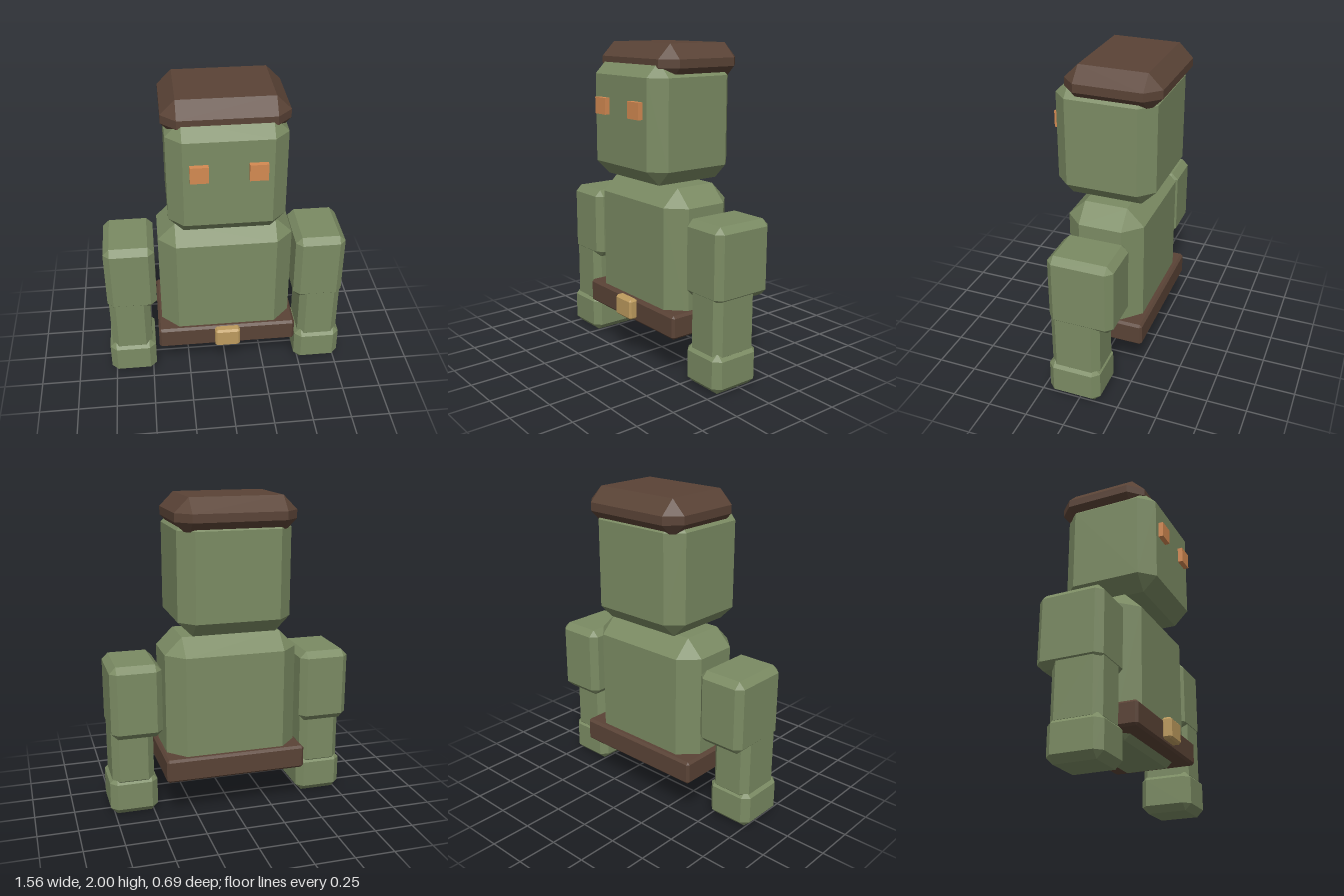
import * as THREE from 'three';
import { ConvexGeometry } from 'three/addons/geometries/ConvexGeometry.js';

function material(name, color) {
  const m = new THREE.MeshStandardMaterial({ color });
  m.name = name;
  return m;
}

// Box given by its limits, with every edge cut at 45 degrees by c
function chamferBox(name, mat, [x0, x1], [y0, y1], [z0, z1], c) {
  const hx = (x1 - x0) / 2, hy = (y1 - y0) / 2, hz = (z1 - z0) / 2;
  const points = [];
  for (const sx of [-1, 1]) for (const sy of [-1, 1]) for (const sz of [-1, 1]) {
    points.push(
      new THREE.Vector3(sx * hx, sy * (hy - c), sz * (hz - c)),
      new THREE.Vector3(sx * (hx - c), sy * hy, sz * (hz - c)),
      new THREE.Vector3(sx * (hx - c), sy * (hy - c), sz * hz));
  }
  const mesh = new THREE.Mesh(new ConvexGeometry(points), mat);
  mesh.position.set((x0 + x1) / 2, (y0 + y1) / 2, (z0 + z1) / 2);
  mesh.name = name;
  return mesh;
}

export function createModel() {
  const green = material('green skin', 0x7b8b63);
  const brown = material('dark brown leather', 0x5a4336);
  const orange = material('orange eyes', 0xd48a52);
  const gold = material('gold buckle', 0xbd9b5e);
  const model = new THREE.Group();
  model.name = 'blockFigure';

  // Body, belt and buckle
  model.add(
    chamferBox('torso', green, [-0.423, 0.419], [0.225, 1.153], [-0.257, 0.229], 0.108),
    chamferBox('belt', brown, [-0.45, 0.446], [0.26, 0.41], [-0.294, 0.26], 0.015),
    chamferBox('buckle', gold, [-0.084, 0.078], [0.285, 0.417], [0.25, 0.313], 0.013));

  // Head and flat cap
  model.add(
    chamferBox('head', green, [-0.355, 0.351], [1.173, 1.9], [-0.311, 0.313], 0.091),
    chamferBox('cap', brown, [-0.374, 0.37], [1.775, 2.0], [-0.346, 0.245], 0.087));

  for (const side of [-1, 1]) {
    const label = side > 0 ? 'left' : 'right';

    // Eye block
    const eye = new THREE.Mesh(new THREE.BoxGeometry(0.108, 0.102, 0.06), orange);
    eye.position.set(side * 0.17 - 0.002, 1.618, 0.315);
    eye.name = label + 'Eye';
    model.add(eye);

    // Arm: upper block, forearm and fist
    const arm = new THREE.Group();
    arm.name = label + 'Arm';
    const span = (centre, width) => [
      side * centre - 0.002 - width / 2, side * centre - 0.002 + width / 2];
    arm.add(
      chamferBox('upperArm', green, span(0.608, 0.32), [0.54, 1.006], [-0.221, 0.189], 0.04),
      chamferBox('forearm', green, span(0.627, 0.266), [0.19, 0.64], [-0.128, 0.186], 0.042),
      chamferBox('fist', green, span(0.626, 0.304), [0, 0.254], [-0.133, 0.203], 0.042));
    model.add(arm);
  }
  return model;
}
